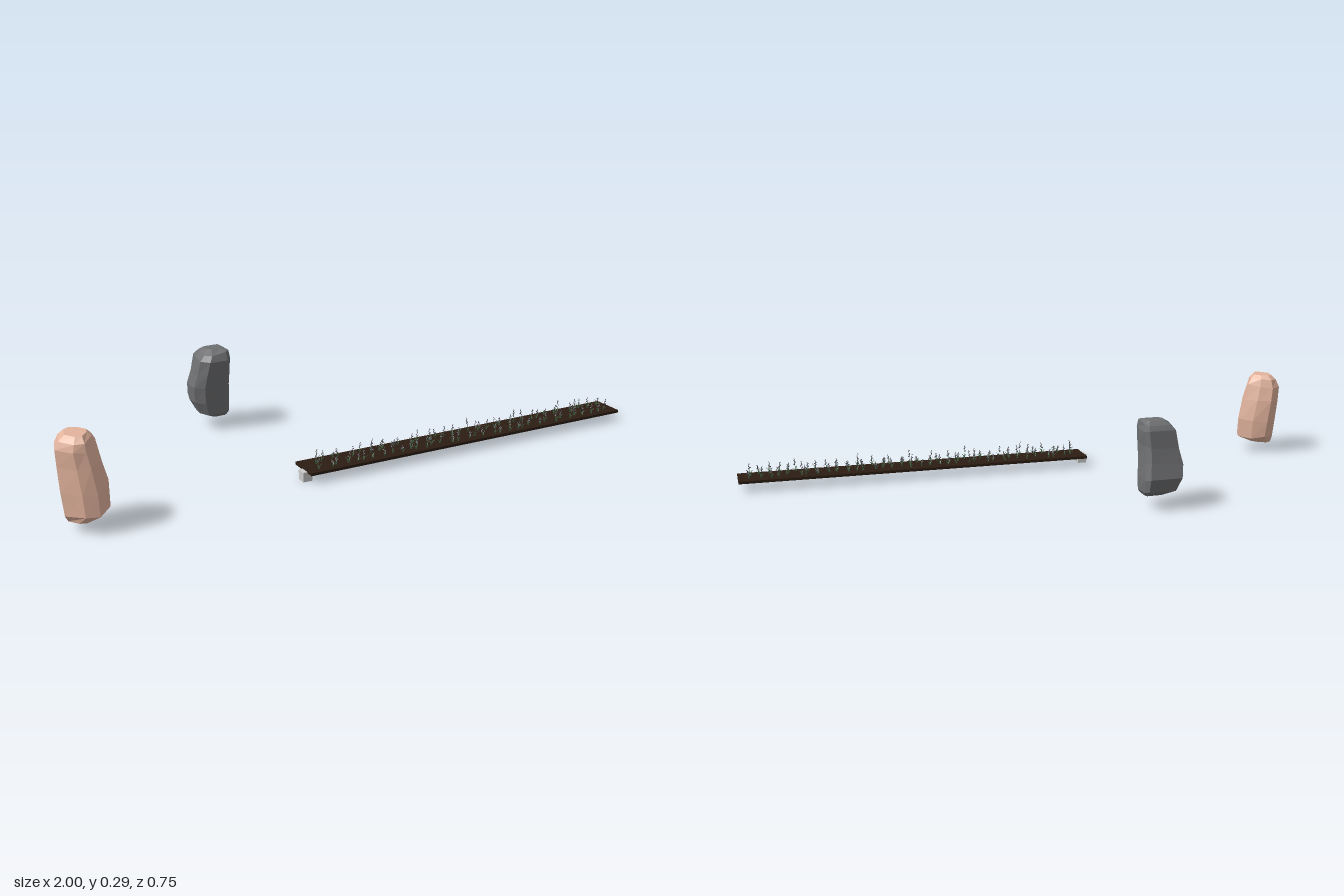
import * as THREE from 'three';
import { mergeGeometries } from 'three/addons/utils/BufferGeometryUtils.js';

let seed = 7;
const rand = (a = 0, b = 1) => {
  seed = (seed * 16807) % 2147483647;
  return a + (b - a) * (seed / 2147483647);
};

const material = (color, extra = {}) => new THREE.MeshStandardMaterial({ color, ...extra });

function addMesh(parent, name, geometry, mat) {
  const mesh = new THREE.Mesh(geometry, mat);
  mesh.name = name;
  parent.add(mesh);
  return mesh;
}

// Faceted boulder: one outline (-1..1) fitted to the extents of each level
// levels: [y, xMin, xMax, zMin, zMax], bottom to top
function rockGeometry(outline, levels) {
  const n = outline.length, pos = [], index = [];
  levels.forEach(([y, x0, x1, z0, z1], k) => {
    const inner = k > 0 && k < levels.length - 1;
    outline.forEach(([u, v]) => {
      const s = inner ? rand(0.95, 1.01) : 1;
      pos.push((x0 + x1) / 2 + u * s * (x1 - x0) / 2,
        y + (inner ? rand(-0.006, 0.006) : 0),
        (z0 + z1) / 2 + v * s * (z1 - z0) / 2);
    });
  });
  for (let k = 0; k < levels.length - 1; k++) {
    for (let i = 0; i < n; i++) {
      const a = k * n + i, b = k * n + (i + 1) % n;
      index.push(a, a + n, b, b, a + n, b + n);
    }
  }
  const top = (levels.length - 1) * n;
  for (let i = 1; i < n - 1; i++) {
    index.push(0, i, i + 1, top, top + i + 1, top + i);
  }
  const geo = new THREE.BufferGeometry();
  geo.setAttribute('position', new THREE.Float32BufferAttribute(pos, 3));
  geo.setIndex(index);
  const flat = geo.toNonIndexed();
  flat.computeVertexNormals();
  return flat;
}

// Thin pointed leaf leaning outwards from its root
function leafGeometry(x, y, z, angle, length, lean) {
  const g = new THREE.PlaneGeometry(0.006, length, 1, 2);
  const p = g.attributes.position;
  for (let i = 0; i < p.count; i++) {
    const t = p.getY(i) / length + 0.5;
    p.setXYZ(i, p.getX(i) * (1 - 0.85 * t), t * length * Math.cos(lean * t), t * length * Math.sin(lean * t));
  }
  g.rotateY(angle);
  g.translate(x, y, z);
  g.computeVertexNormals();
  return g;
}

export function createModel() {
  const model = new THREE.Group();

  // Boulders
  const pinkOutline = [[-0.16, -1], [0.5, -0.72], [0.99, -0.2], [0.85, 0.3],
    [0.18, 1], [-0.37, 0.87], [-1, 0.2], [-0.7, -0.77]];
  const pinkLevels = [
    [0.032, -0.975, -0.9, 0.25, 0.345],
    [0.055, -0.985, -0.842, 0.224, 0.375],
    [0.12, -0.992, -0.843, 0.221, 0.373],
    [0.2, -0.997, -0.86, 0.217, 0.368],
    [0.25, -1.0, -0.873, 0.223, 0.364],
    [0.275, -0.987, -0.885, 0.233, 0.358],
    [0.289, -0.967, -0.9, 0.25, 0.34]];
  addMesh(model, 'pinkRock', rockGeometry(pinkOutline, pinkLevels), material(0xe2b39d, { flatShading: true }));

  const greyOutline = [[-0.8, -0.95], [0.85, -1], [1, -0.55], [1, 0.65],
    [0.65, 0.95], [-0.55, 1], [-1, 0.55], [-1, -0.25]];
  const greyLevels = [
    [0.04, -0.295, -0.235, -0.325, -0.265],
    [0.056, -0.335, -0.224, -0.36, -0.255],
    [0.1, -0.352, -0.223, -0.375, -0.246],
    [0.15, -0.358, -0.227, -0.363, -0.237],
    [0.2, -0.347, -0.23, -0.354, -0.229],
    [0.25, -0.335, -0.227, -0.346, -0.225],
    [0.272, -0.318, -0.232, -0.337, -0.237],
    [0.283, -0.3, -0.242, -0.318, -0.268]];
  addMesh(model, 'greyRock', rockGeometry(greyOutline, greyLevels), material(0x6f7072, { flatShading: true }));

  // Small block under the end of the bed
  addMesh(model, 'block', new THREE.BoxGeometry(0.032, 0.032, 0.032), material(0xcccccc))
    .position.set(-0.218, 0.016, 0.292);

  // Long soil strip
  addMesh(model, 'soilBed', new THREE.BoxGeometry(1.22, 0.009, 0.11), material(0x2c1d12))
    .position.set(0.39, 0.0325, 0.28);

  // Two rows of flowering plants: leaves, stems and blossoms up each stem
  const leaves = [], stems = [], blossoms = [];
  const ground = 0.036, perRow = 36;
  for (const rowZ of [0.262, 0.312]) {
    for (let i = 0; i < perRow; i++) {
      const x = -0.175 + i * 1.135 / (perRow - 1) + rand(-0.01, 0.01);
      const z = rowZ + rand(-0.011, 0.011);
      const turn = rand(0, Math.PI * 2);
      for (let k = 0; k < 4; k++) {
        leaves.push(leafGeometry(x, ground, z, turn + k * 1.57, rand(0.014, 0.024), rand(0.4, 0.9)));
      }
      const height = i % 6 === 0 ? rand(0.045, 0.052) : rand(0.024, 0.042);
      const dx = rand(-0.005, 0.005), dz = rand(-0.005, 0.005);
      const curve = new THREE.LineCurve3(new THREE.Vector3(x, ground, z),
        new THREE.Vector3(x + dx, ground + height, z + dz));
      stems.push(new THREE.TubeGeometry(curve, 1, 0.0007, 4));
      for (let k = 0; k < 5; k++) {
        const t = 0.55 + k * 0.1, a = turn + k * 2.4, r = 0.0035 * (1.4 - t);
        const petal = new THREE.OctahedronGeometry(0.0033 - 0.0004 * k);
        petal.translate(x + dx * t + r * Math.cos(a), ground + height * t, z + dz * t + r * Math.sin(a));
        blossoms.push(petal);
      }
    }
  }
  const plants = new THREE.Group();
  plants.name = 'plants';
  model.add(plants);
  addMesh(plants, 'leaves', mergeGeometries(leaves), material(0x456b4a, { side: THREE.DoubleSide }));
  addMesh(plants, 'stems', mergeGeometries(stems), material(0x4a6045));
  addMesh(plants, 'blossoms', mergeGeometries(blossoms), material(0x5b5068, { flatShading: true }));

  return model;
}
